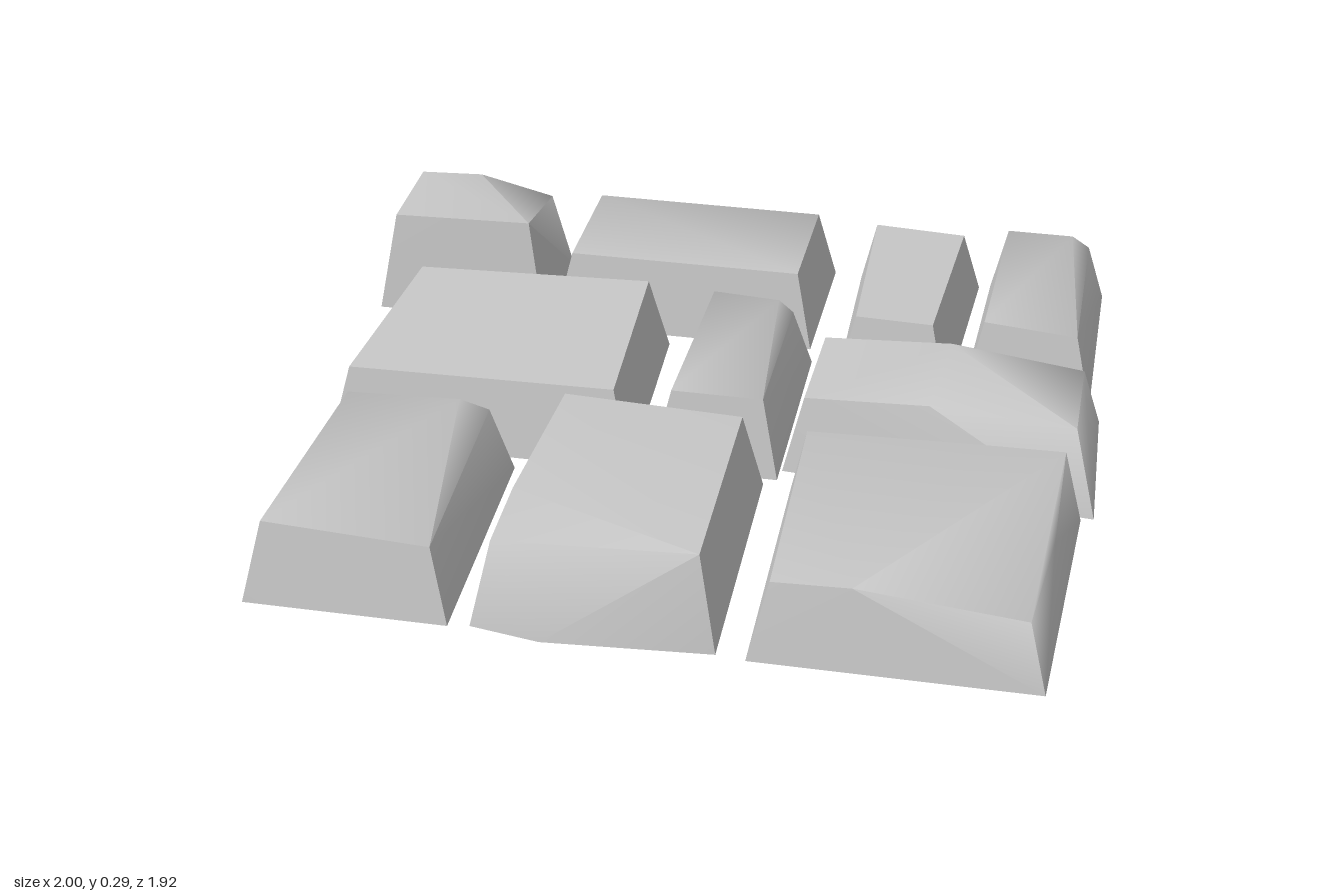
import * as THREE from 'three';
import { ConvexGeometry } from 'three/addons/geometries/ConvexGeometry.js';
import { toCreasedNormals } from 'three/addons/utils/BufferGeometryUtils.js';

const BED = 0.02; // level the stones rest on
const INSET = 0.045; // how far the sides lean in

// A tapered block: ground rectangle whose front edge widens by flare,
// a top corner height for each corner, and optional chipped-off points.
function stoneGeometry([x0, x1], [z0, z1], flare, heights, chips = []) {
  const corners = [
    [x0, z0, 1, 1],
    [x1, z0, -1, 1],
    [x1 + flare, z1, -1, -1],
    [x0 - flare, z1, 1, -1],
  ];
  const points = chips.map((p) => new THREE.Vector3(...p));
  corners.forEach(([x, z, inX, inZ], i) => {
    points.push(new THREE.Vector3(x, BED, z));
    points.push(new THREE.Vector3(x + inX * INSET, heights[i], z + inZ * INSET));
  });
  // Softened upper edges, crisp underside
  return toCreasedNormals(new ConvexGeometry(points), 1.2);
}

export function createModel() {
  const group = new THREE.Group();
  group.name = 'pavingStones';
  const grey = new THREE.MeshStandardMaterial({ color: 0xc8c8c8 });
  grey.name = 'stone grey';

  const add = (name, ...shape) => {
    const mesh = new THREE.Mesh(stoneGeometry(...shape), grey);
    mesh.name = name;
    group.add(mesh);
  };

  // Back row
  add('tallCornerStone', [-1, -0.54], [-0.83, -0.48], 0, [0.29, 0.25, 0.295, 0.285], [[-0.79, 0.29, -0.8]]);
  add('longFlatStone', [-0.51, 0.195], [-0.92, -0.475], 0, [0.22, 0.22, 0.22, 0.22], [[-0.51, BED, -0.96]]);
  add('narrowStone', [0.27, 0.6], [-0.91, -0.285], -0.02, [0.21, 0.2, 0.21, 0.215]);
  add('backCornerStone', [0.63, 0.94], [-0.925, -0.31], 0.01, [0.22, 0.19, 0.2, 0.22], [[0.85, 0.23, -0.86]]);

  // Middle row
  add('broadStone', [-0.89, -0.18], [-0.43, 0.21], 0.03, [0.21, 0.23, 0.22, 0.21]);
  add('smallStone', [-0.09, 0.21], [-0.41, 0.185], 0.01, [0.23, 0.19, 0.22, 0.22], [[0.13, 0.23, -0.35]]);
  add('sideStone', [0.23, 0.98], [-0.25, 0.14], 0.005, [0.215, 0.19, 0.2, 0.21],
    [[0.6, 0.235, -0.2], [0.58, 0.225, 0.1], [1, 0, 0.18]]);

  // Front row
  add('frontRightStone', [-0.88, -0.43], [0.255, 0.94], 0.02, [0.22, 0.21, 0.2, 0.22], [[-0.54, 0.25, 0.33]]);
  add('frontMiddleStone', [-0.34, 0.19], [0.21, 0.93], 0.02, [0.25, 0.235, 0.255, 0.23],
    [[-0.31, 0.255, 0.7], [-0.19, BED, 0.96]]);
  add('frontLeftStone', [0.26, 0.97], [0.22, 0.94], -0.02, [0.22, 0.235, 0.18, 0.21],
    [[0.73, 0.235, 0.27], [0.93, 0.2, 0.6], [0.51, 0.22, 0.9]]);

  return group;
}
